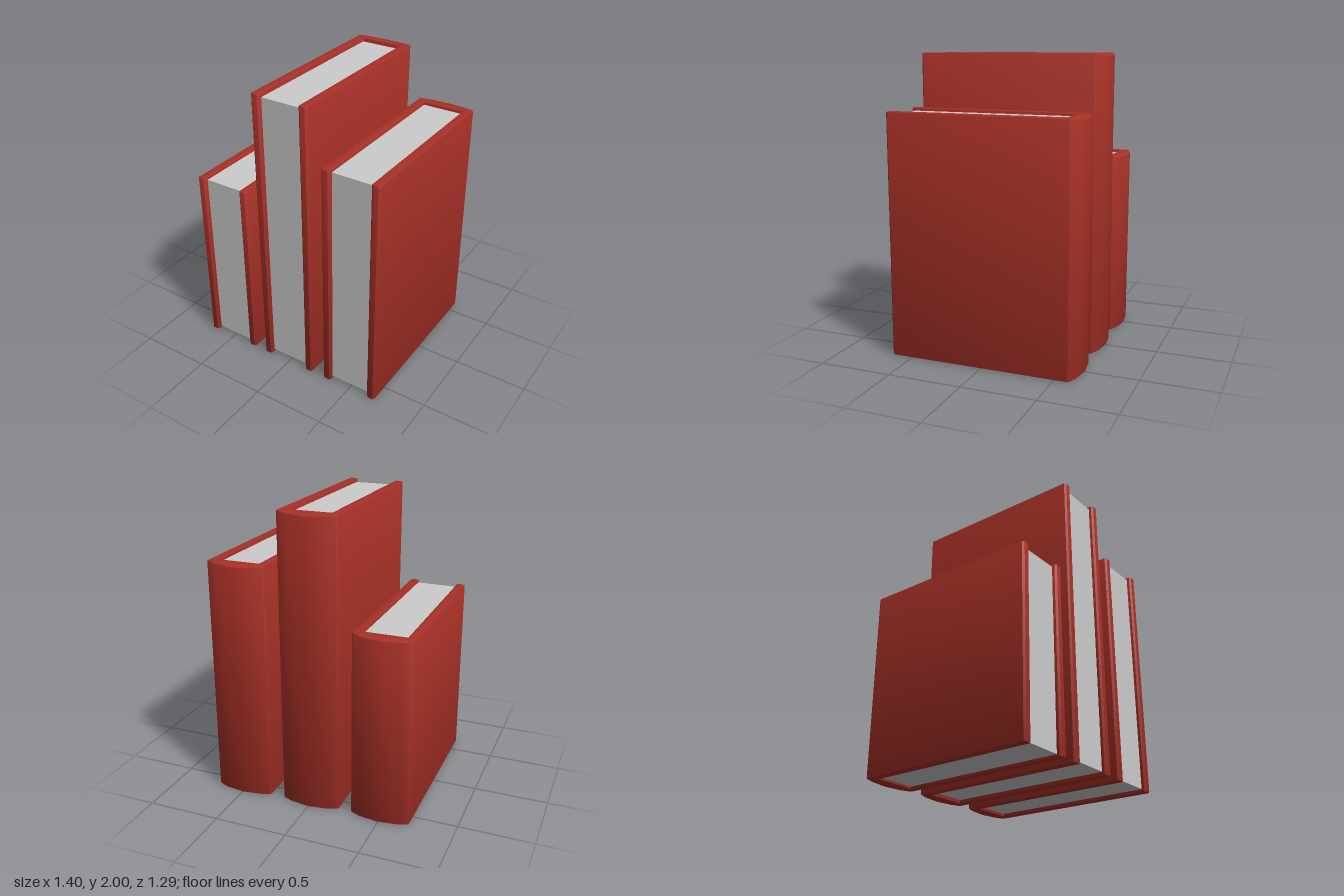
import * as THREE from 'three';
import { toCreasedNormals } from 'three/addons/utils/BufferGeometryUtils.js';

const HALF_WIDTH = 0.2035, INNER = 0.143, FRONT = 0.645, SPINE_INNER = -0.545;
const coverMaterial = new THREE.MeshStandardMaterial({ color: 0xa83127 });
const pageMaterial = new THREE.MeshStandardMaterial({ color: 0xcccccc });

// Cover: U-shaped plan (two boards and a bowed spine), extruded upwards
function coverGeometry(height) {
  const c = 0.012, bevel = 0.008;
  const half = [ // x, z from the spine ridge round to the inner corner
    [0.13, -0.627], [0.188, -0.604], [0.2, -0.597], [HALF_WIDTH, -0.585],
    [HALF_WIDTH, FRONT - c], [HALF_WIDTH - c, FRONT],
    [INNER + c, FRONT], [INNER, FRONT - c], [INNER, SPINE_INNER],
  ];
  const mirrored = half.map(([x, z]) => [-x, z]).reverse();
  const plan = [[0, -FRONT], ...half, ...mirrored];
  const shape = new THREE.Shape(plan.map(([x, z]) => new THREE.Vector2(x, -z)));
  const geometry = new THREE.ExtrudeGeometry(shape, {
    depth: height - 2 * bevel, bevelThickness: bevel, bevelSize: bevel,
    bevelOffset: -bevel, bevelSegments: 2,
  });
  geometry.rotateX(-Math.PI / 2).translate(0, bevel, 0);

  // Let the top of the spine dip slightly towards its ridge
  const p = geometry.attributes.position;
  for (let i = 0; i < p.count; i++) {
    const out = -0.597 - p.getZ(i);
    if (out > 0 && p.getY(i) > height / 2) p.setY(i, p.getY(i) - out * 0.16 * height);
  }
  return toCreasedNormals(geometry, 0.55);
}

function createBook(height) {
  const book = new THREE.Group();
  const cover = new THREE.Mesh(coverGeometry(height), coverMaterial);
  cover.name = 'cover';

  // Page block, set back from the boards and sunk a little into the cover
  const margin = 0.0125 * height, sink = 0.01;
  const back = SPINE_INNER - sink, front = 0.615;
  const pages = new THREE.Mesh(
    new THREE.BoxGeometry(2 * (INNER + sink), height - 2 * margin, front - back), pageMaterial);
  pages.position.set(0, height / 2, (front + back) / 2);
  pages.name = 'pages';

  book.add(cover, pages);
  return book;
}

export function createModel() {
  const model = new THREE.Group();
  model.name = 'books';
  const books = [['shortBook', -0.4965, 1.28], ['tallBook', -0.003, 2], ['mediumBook', 0.4965, 1.637]];
  for (const [name, x, height] of books) {
    const book = createBook(height);
    book.name = name;
    book.position.x = x;
    model.add(book);
  }
  return model;
}
